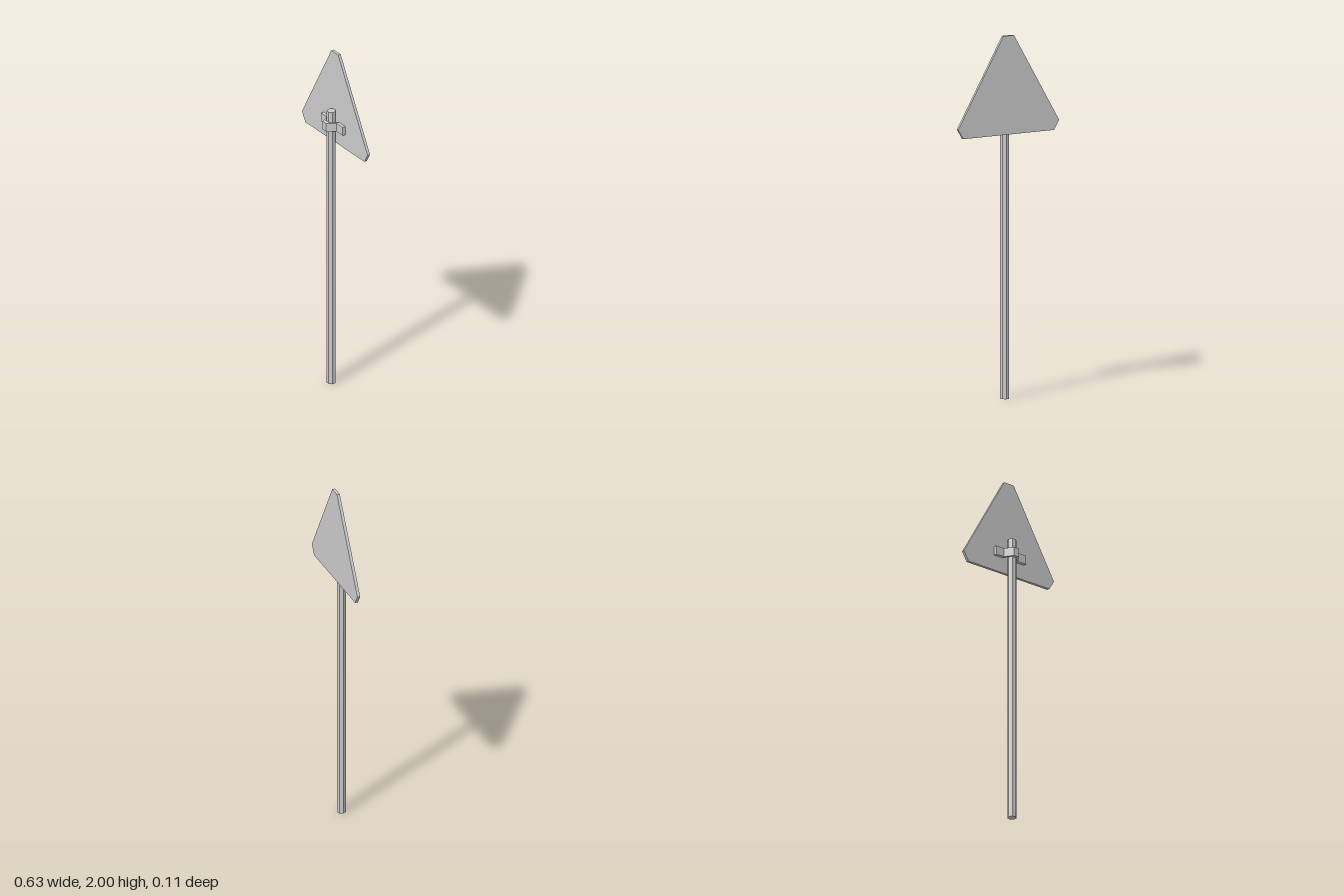
import * as THREE from 'three';

const material = new THREE.MeshStandardMaterial({ color: 0xcccccc, flatShading: true });

function extrude(points, depth) {
  const shape = new THREE.Shape(points.map(([x, y]) => new THREE.Vector2(x, y)));
  return new THREE.ExtrudeGeometry(shape, { depth, bevelEnabled: false });
}

function addMesh(parent, name, geometry) {
  const mesh = new THREE.Mesh(geometry, material);
  mesh.name = name;
  parent.add(mesh);
  return mesh;
}

export function createModel() {
  const model = new THREE.Group();
  model.name = 'triangularRoadSign';

  // Seven-sided post
  const postHeight = 1.656;
  const post = addMesh(model, 'post',
    new THREE.CylinderGeometry(0.025, 0.025, postHeight, 7, 1, false, -Math.PI / 2));
  post.position.set(0.001, postHeight / 2, 0.009);

  // Panel and clamp are turned slightly around the post
  const head = new THREE.Group();
  head.name = 'signHead';
  head.rotation.y = -0.082;
  model.add(head);

  // Triangular panel with clipped corners
  const half = [[0.282, 1.457], [0.314, 1.51], [0.033, 2]];
  const mirrored = half.map(([x, y]) => [-x, y]).reverse();
  const panel = addMesh(head, 'signPanel', extrude([...half, ...mirrored], 0.016));
  panel.position.z = -0.031;

  // Bent clamp strap: one profile and its copy shifted by the strap thickness
  const thickness = 0.0195;
  const outer = [[-0.104, 0.004], [-0.049, 0.004], [-0.018, 0.052],
    [0.016, 0.052], [0.046, 0.004], [0.103, 0.004]];
  const inner = outer.map(([x, z]) => [x, z - thickness]).reverse();
  const strap = extrude([...outer, ...inner].map(([x, z]) => [x, -z]), 0.05);
  strap.rotateX(-Math.PI / 2);
  addMesh(head, 'clampStrap', strap).position.y = 1.545;

  return model;
}
